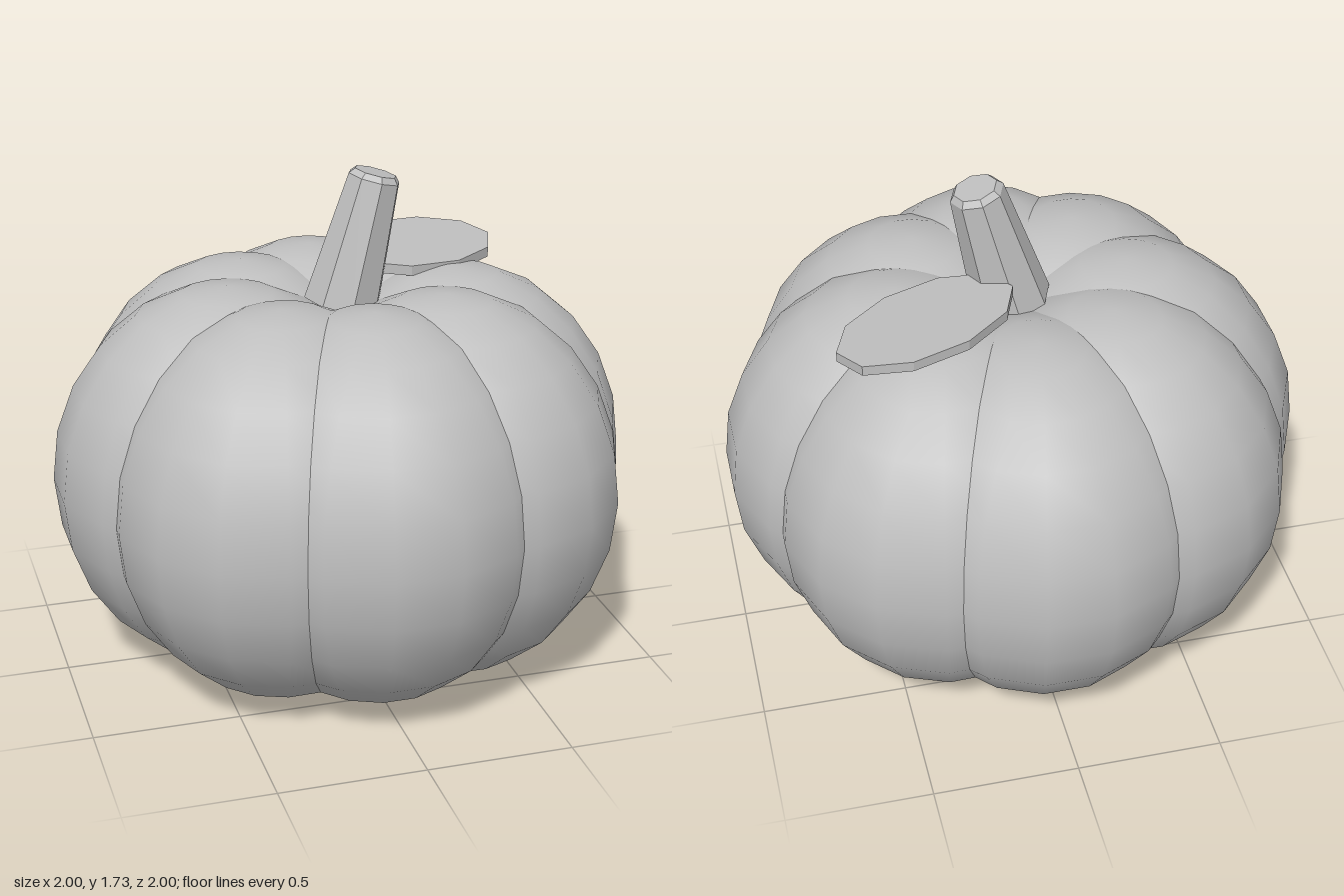
import * as THREE from 'three';

const grey = new THREE.MeshStandardMaterial({ color: 0xbfbfbf });
grey.name = 'plain grey';
const facetedGrey = grey.clone();
facetedGrey.flatShading = true;
facetedGrey.name = 'plain grey faceted';

function addMesh(parent, name, geometry, material) {
  const mesh = new THREE.Mesh(geometry, material);
  mesh.name = name;
  parent.add(mesh);
  return mesh;
}

export function createModel() {
  const model = new THREE.Group();
  model.name = 'pumpkin';

  // Body: eight overlapping smooth lobes around the centre, each with a flat-on outer facet
  const body = new THREE.Group();
  body.name = 'body';
  model.add(body);
  const lobeGeometry = new THREE.SphereGeometry(1, 16, 12)
    .rotateY(Math.PI / 16)
    .scale(0.612, 0.68, 0.58)
    .translate(0.4, 0.68, 0);
  for (let i = 0; i < 8; i++) {
    addMesh(body, `lobe${i + 1}`, lobeGeometry, grey).rotation.y = (i * Math.PI) / 4;
  }

  // Stem: eight-sided taper with a small chamfer, leaning to +x
  const profile = [[0, 0], [0.135, 0], [0.092, 0.45], [0.074, 0.47], [0, 0.47]]
    .map(([r, y]) => new THREE.Vector2(r, y));
  const stem = addMesh(model, 'stem', new THREE.LatheGeometry(profile, 8), facetedGrey);
  stem.position.set(0, 1.26, 0);
  stem.rotation.z = -0.26;

  // Leaf: ten-sided oval plate, tilted down towards the front left
  const across = new THREE.Vector3(-0.01, 0.021, -0.221);
  const along = new THREE.Vector3(0.309, -0.02, -0.088);
  const leafGeometry = new THREE.CylinderGeometry(1, 1, 0.035, 10);
  leafGeometry.applyMatrix4(
    new THREE.Matrix4().makeBasis(across, new THREE.Vector3(0, 1, 0), along));
  addMesh(model, 'leaf', leafGeometry, facetedGrey).position.set(0.337, 1.37, -0.228);

  return model;
}
